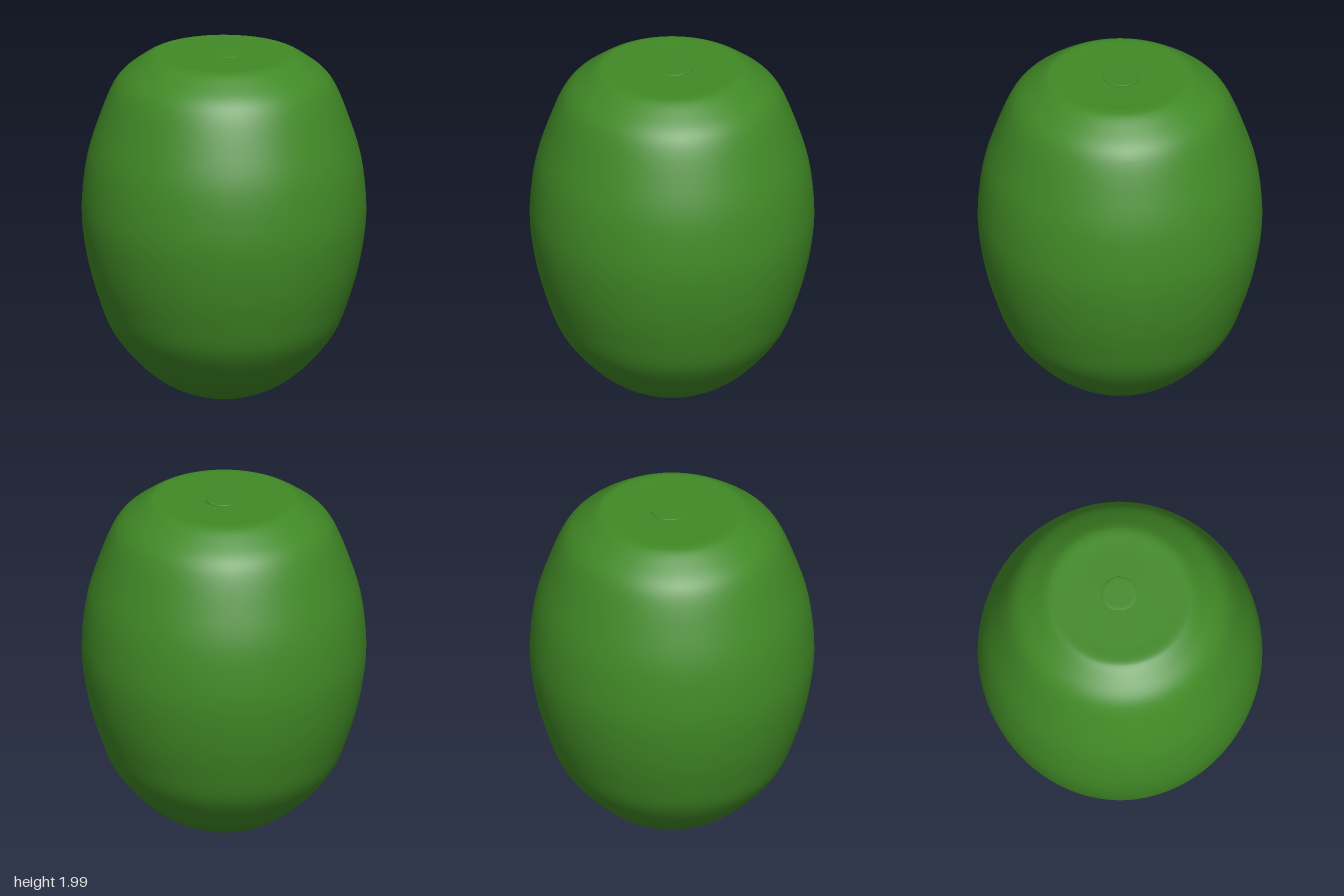
import * as THREE from 'three';

const skin = new THREE.MeshStandardMaterial({ color: 0x418a26 });

// Smooth surface of revolution through a few [radius, height] points
function turned(name, points, rings) {
  const curve = new THREE.CatmullRomCurve3(points.map(([r, y]) => new THREE.Vector3(r, y, 0)));
  const profile = curve.getPoints(rings).map((p) => new THREE.Vector2(Math.max(p.x, 0), p.y));
  const mesh = new THREE.Mesh(new THREE.LatheGeometry(profile, 96), skin);
  mesh.name = name;
  return mesh;
}

export function createModel() {
  const model = new THREE.Group();
  model.name = 'roundedBody';

  // Egg-shaped body with a flat, softly rimmed top
  model.add(turned('body', [
    [0, 0.005], [0.1, 0.015], [0.21, 0.045], [0.33, 0.1], [0.465, 0.205], [0.625, 0.4],
    [0.705, 0.6], [0.76, 0.8], [0.793, 1.02], [0.793, 1.18], [0.765, 1.4], [0.705, 1.6],
    [0.625, 1.8], [0.575, 1.87], [0.49, 1.938], [0.42, 1.982], [0.39, 1.99],
    [0.3, 1.99], [0.17, 1.991], [0, 1.993],
  ], 114));

  // Low button on the top, tipped so its +x edge stands proud
  const button = turned('topButton', [
    [0.1, -0.008], [0.1, 0], [0.097, 0.002], [0.05, 0.003], [0, 0.003],
  ], 16);
  button.position.set(0.015, 1.9935, 0);
  button.rotation.z = 0.035;
  model.add(button);

  return model;
}
